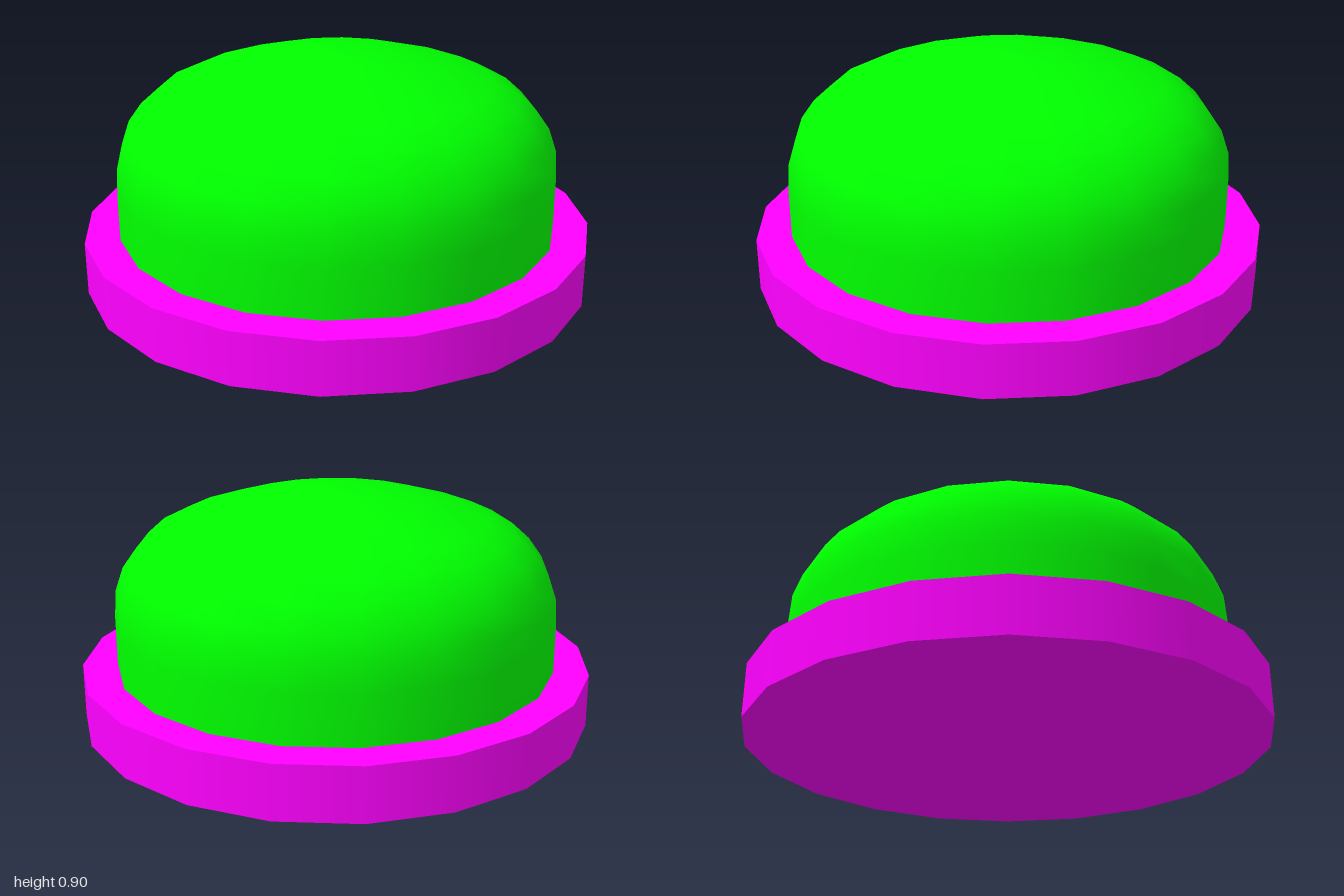
import * as THREE from 'three';

const SIDES = 20;

function addPart(group, name, geometry, color) {
  const mesh = new THREE.Mesh(geometry, new THREE.MeshStandardMaterial({ color }));
  mesh.name = name;
  group.add(mesh);
  return mesh;
}

export function createModel() {
  const group = new THREE.Group();
  group.name = 'pushButton';

  // Flat round base
  const baseHeight = 0.21;
  const base = addPart(group, 'base', new THREE.CylinderGeometry(1, 1, baseHeight, SIDES), 0xff00ff);
  base.position.y = baseHeight / 2;

  // Domed cap: straight wall rounding over into a shallow crown
  const profile = [
    [0.864, baseHeight], [0.864, 0.4], [0.857, 0.51], [0.824, 0.605], [0.77, 0.68],
    [0.7, 0.743], [0.6, 0.79], [0.39, 0.853], [0.187, 0.885], [0, 0.897],
  ].map(([r, y]) => new THREE.Vector2(r, y));
  addPart(group, 'cap', new THREE.LatheGeometry(profile, SIDES), 0x00ff00);

  return group;
}
